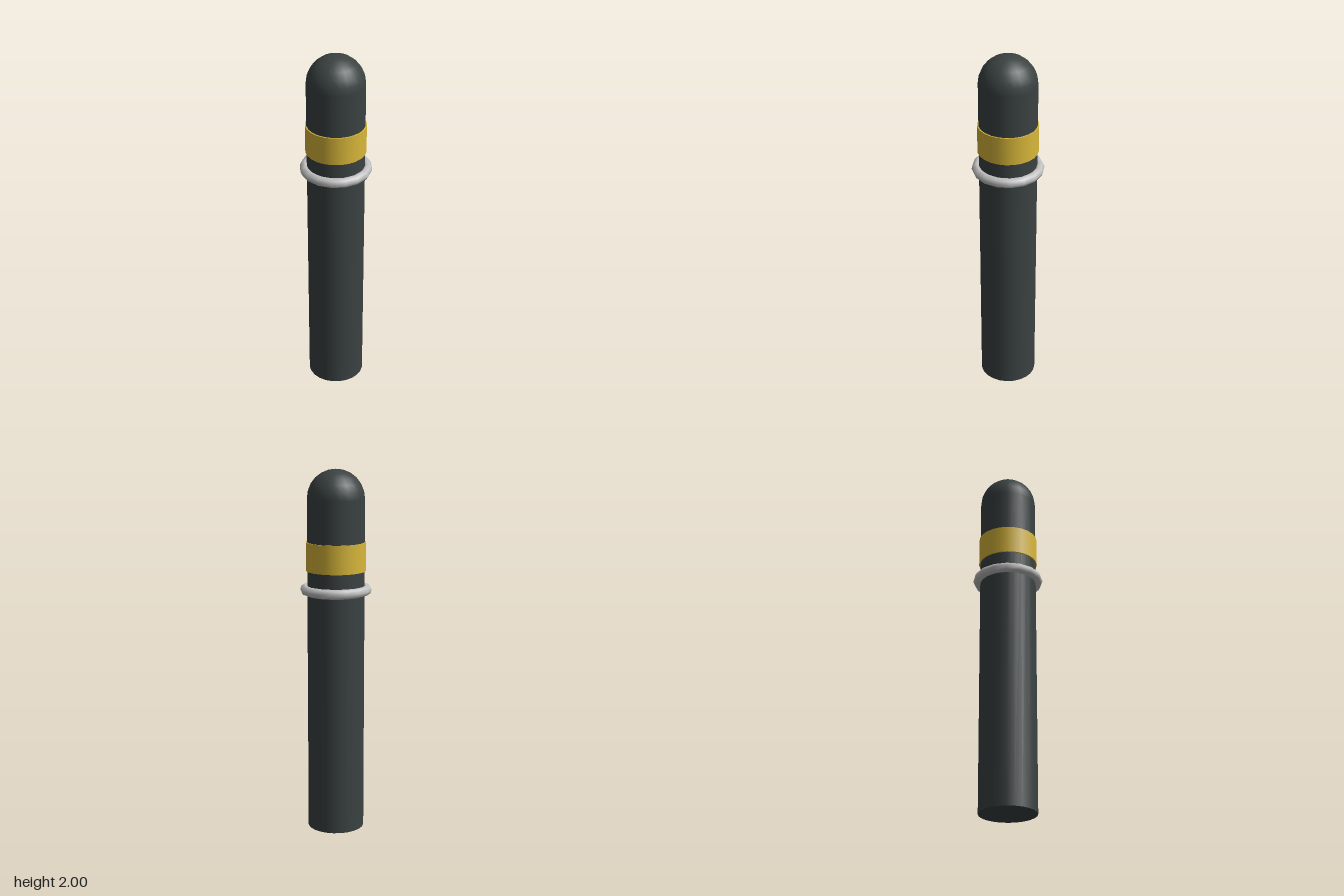
import * as THREE from 'three';

export function createModel() {
  const group = new THREE.Group();
  const charcoal = new THREE.MeshStandardMaterial({ color: 0x3b4242 });
  charcoal.name = 'charcoal';
  const yellow = new THREE.MeshStandardMaterial({ color: 0xd9b83b });
  yellow.name = 'yellow';
  const silver = new THREE.MeshStandardMaterial({ color: 0xc2c2c2 });
  silver.name = 'silver';

  const add = (name, geometry, material, y) => {
    const mesh = new THREE.Mesh(geometry, material);
    mesh.name = name;
    mesh.position.y = y;
    group.add(mesh);
    return mesh;
  };

  const radius = 0.156;
  const shaftHeight = 2 - radius;

  // Post with a rounded cap
  add('shaft', new THREE.CylinderGeometry(radius, radius, shaftHeight, 24), charcoal, shaftHeight / 2);
  add('domeCap', new THREE.SphereGeometry(radius, 24, 6, 0, Math.PI * 2, 0, Math.PI / 2), charcoal, shaftHeight);

  // Reflective band standing slightly proud of the shaft
  add('band', new THREE.CylinderGeometry(0.163, 0.163, 0.156, 24), yellow, 1.533);

  // Metal collar ring
  const ring = add('collarRing', new THREE.TorusGeometry(0.168, 0.027, 8, 16), silver, 1.351);
  ring.rotation.x = Math.PI / 2;

  return group;
}
